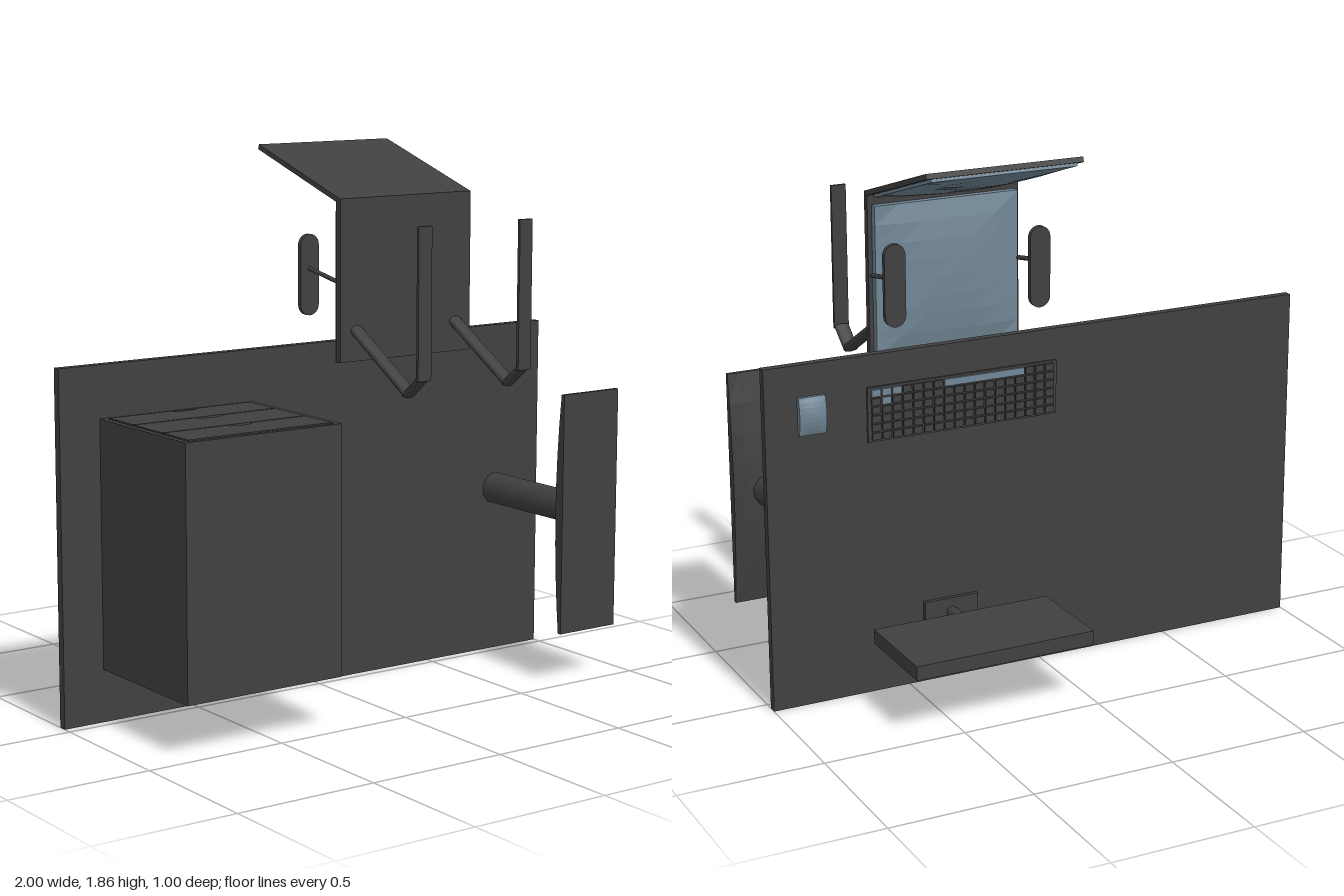
import * as THREE from 'three';

export function createModel() {
  const model = new THREE.Group();
  const dark = new THREE.MeshStandardMaterial({ color: 0x404040 });
  dark.name = 'charcoal';
  const blue = new THREE.MeshStandardMaterial({ color: 0x728796 });
  blue.name = 'slate blue';

  const add = (name, geometry, material = dark, parent = model) => {
    const mesh = new THREE.Mesh(geometry, material);
    mesh.name = name;
    parent.add(mesh);
    return mesh;
  };
  // Box given by its bounds on each axis
  const box = (name, x0, x1, y0, y1, z0, z1, material = dark, parent = model) => {
    const mesh = add(name, new THREE.BoxGeometry(x1 - x0, y1 - y0, z1 - z0), material, parent);
    mesh.position.set((x0 + x1) / 2, (y0 + y1) / 2, (z0 + z1) / 2);
    return mesh;
  };
  // Rod lying in the plane of constant x, from (y, z) to (y, z)
  const rod = (name, x, [ya, za], [yb, zb], radius, flat = 1, sides = 8) => {
    const dy = yb - ya, dz = zb - za;
    const mesh = add(name, new THREE.CylinderGeometry(radius, radius, Math.hypot(dy, dz), sides));
    mesh.position.set(x, (ya + yb) / 2, (za + zb) / 2);
    mesh.rotation.x = Math.atan2(dz, dy);
    mesh.scale.z = flat;
    return mesh;
  };
  // Faceted slab whose -z face bulges by the rule height(u, v)
  const pillow = (name, x0, x1, y0, y1, z, height, material, parent = model) => {
    const w = x1 - x0, h = y1 - y0;
    let geometry = new THREE.BoxGeometry(w, h, 1, 6, 8, 1);
    const p = geometry.attributes.position;
    for (let i = 0; i < p.count; i++) {
      p.setZ(i, p.getZ(i) > 0 ? 0 : -height(p.getX(i) / w * 2, p.getY(i) / h * 2));
    }
    geometry = geometry.toNonIndexed();
    geometry.computeVertexNormals();
    const mesh = add(name, geometry, material, parent);
    mesh.position.set((x0 + x1) / 2, (y0 + y1) / 2, z);
  };

  // Desk top
  box('deskTop', -1, 1, 0, 1.2, -0.062, -0.032);

  // Drawer cabinet with a raised rim
  const cx0 = -0.85, cx1 = -0.255, cz0 = -0.032, cz1 = 0.49;
  box('cabinetBody', cx0, cx1, 0.18, 1.0, cz0, cz1);
  box('cabinetRim', cx0, cx0 + 0.02, 1.0, 1.022, cz0, cz1);
  box('cabinetRim', cx1 - 0.02, cx1, 1.0, 1.022, cz0, cz1);
  box('cabinetRim', cx0, cx1, 1.0, 1.022, cz0, -0.018);
  box('cabinetRim', cx0, cx1, 1.0, 1.022, 0.472, cz1);

  // Drawer fronts with a scooped grip
  for (const [z0, z1] of [[-0.012, 0.138], [0.144, 0.313], [0.319, 0.466]]) {
    const s = new THREE.Shape();
    s.moveTo(-0.825, -z1);
    s.lineTo(-0.28, -z1);
    s.lineTo(-0.28, -z0);
    s.lineTo(-0.49, -z0);
    s.absellipse(-0.54, -z0, 0.05, 0.022, 0, Math.PI, true);
    s.lineTo(-0.825, -z0);
    s.closePath();
    const g = new THREE.ExtrudeGeometry(s, { depth: 0.025, bevelEnabled: false, curveSegments: 6 });
    g.rotateX(-Math.PI / 2);
    add('drawerFront', g).position.y = 1.0;
  }

  // Desk leg: column and domed foot
  rod('legColumn', 0.805, [0.6, -0.035], [0.6, 0.45], 0.058, 1, 10);
  pillow('legFoot', 0.68, 0.925, 0.18, 1.025, 0.492,
    (u, v) => 0.014 + 0.046 * (1 - v * v) * (1 - 0.5 * u ** 4), dark);

  // Chair seat and back
  box('seatPlate', 0, 0.555, 1.15, 1.705, 0.098, 0.123);
  const soft = (edge, rise) => (u, v) => edge + rise * (1 - Math.max(Math.abs(u), Math.abs(v)) ** 2);
  pillow('seatCushion', 0.015, 0.54, 1.145, 1.66, 0.098, soft(0.025, 0.03), blue);
  const back = new THREE.Group();
  back.name = 'chairBack';
  back.position.set(0, 1.705, 0.12);
  back.rotation.x = -1.262;
  model.add(back);
  box('backPlate', 0, 0.555, 0, 0.51, -0.018, 0, dark, back);
  pillow('backCushion', 0.02, 0.535, 0.03, 0.5, -0.018, soft(0.01, 0.025), blue, back);

  // Chair legs and armrests, one per side
  for (const side of [-1, 1]) {
    const legX = 0.2805 + side * 0.2115;
    rod('chairLeg', legX, [1.262, 0.11], [1.078, 0.422], 0.027, 0.6);
    rod('chairLegBend', legX, [1.073, 0.412], [1.138, 0.492], 0.027, 0.45);
    box('chairRunner', legX - 0.027, legX + 0.027, 1.13, 1.64, 0.491, 0.502);

    const armX = 0.2775 + side * 0.265, r = 0.0375;
    rod('armrestPost', armX, [1.42, 0.1], [1.452, -0.078], 0.008);
    const s = new THREE.Shape();
    s.absarc(0, 0.14 - r, r, 0, Math.PI);
    s.absarc(0, r - 0.14, r, Math.PI, Math.PI * 2);
    s.closePath();
    const g = new THREE.ExtrudeGeometry(s, { depth: 0.017, bevelEnabled: false, curveSegments: 6 });
    add('armrest', g).position.set(armX, 1.43, -0.091);
  }

  // Monitor on its stand
  box('monitorScreen', 0.02, 0.67, 0.22, 0.27, -0.5, -0.155);
  rod('monitorStand', 0.345, [0.245, -0.07], [0.245, -0.16], 0.02);
  box('monitorBase', 0.245, 0.445, 0.195, 0.295, -0.077, -0.062);

  // Keyboard: plate, rows of keys, pale space bar and arrow keys
  box('keyboardPlate', -0.06, 0.64, 0.9, 1.09, -0.07, -0.062);
  const cols = 18, pitchX = 0.68 / cols, pitchY = 0.18 / 6;
  for (let row = 0; row < 6; row++) {
    for (let col = 0; col < cols; col++) {
      const isSpace = row === 5 && col >= 3 && col < 11;
      if (isSpace && col > 3) continue;
      const isArrow = (row === 5 && col >= 15) || (row === 4 && col === 16);
      const x = -0.05 + col * pitchX, y = 0.905 + row * pitchY;
      box(isSpace ? 'spaceBar' : isArrow ? 'arrowKey' : 'key',
        x + 0.003, x + pitchX * (isSpace ? 8 : 1) - 0.003, y + 0.003, y + pitchY - 0.003,
        -0.078, -0.07, isSpace || isArrow ? blue : dark);
    }
  }

  // Mouse
  pillow('mouse', 0.79, 0.885, 0.96, 1.09, -0.062,
    (u, v) => 0.012 + 0.018 * (1 - v * v) * (1 - 0.5 * u * u), blue);

  return model;
}
